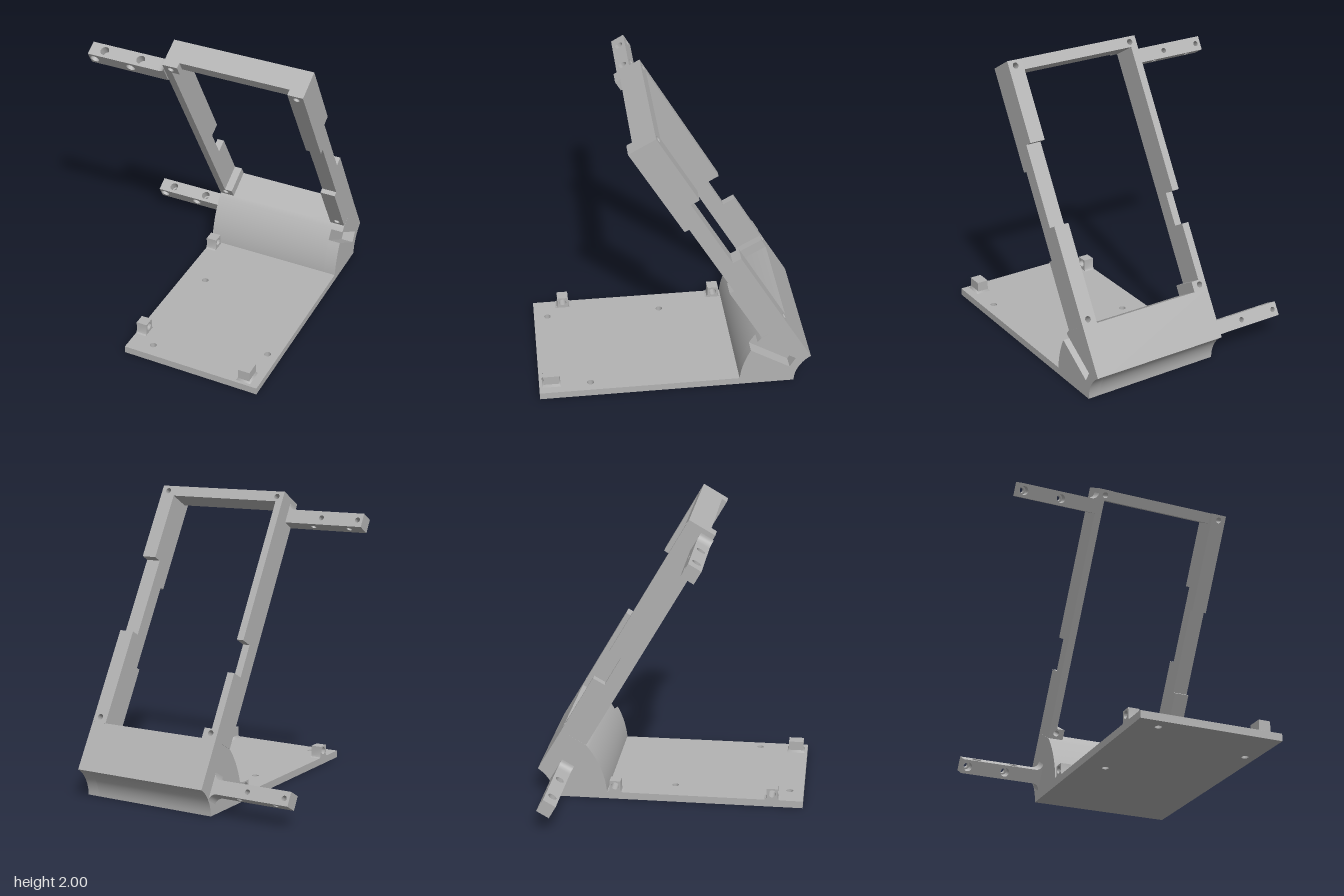
import * as THREE from 'three';
import { toCreasedNormals } from 'three/addons/utils/BufferGeometryUtils.js';

const grey = new THREE.MeshStandardMaterial({ color: 0xb3b3b3 });
grey.name = 'matte grey';

const X0 = -0.205, X1 = 0.765;      // body width
const L = 2.08, T = 0.197;          // leaning frame length and depth
const SILL = 0.335, LOW = 0.405, HIGH = 2.007; // frame opening and corner limits

function add(parent, name, geo, x = 0, y = 0, z = 0) {
  const mesh = new THREE.Mesh(geo, grey);
  mesh.name = name;
  mesh.position.set(x, y, z);
  parent.add(mesh);
  return mesh;
}

function extrude(points, depth, holes = []) {
  const shape = new THREE.Shape(points.map(([a, b]) => new THREE.Vector2(a, b)));
  for (const [a, b, r] of holes) {
    shape.holes.push(new THREE.Path().absarc(a, b, r, 0, Math.PI * 2, true));
  }
  const geo = new THREE.ExtrudeGeometry(shape, { depth, bevelEnabled: false, curveSegments: 12 });
  return toCreasedNormals(geo, 0.5);
}

const rect = (a0, a1, b0, b1) => [[a0, b0], [a1, b0], [a1, b1], [a0, b1]];

// side profile given as (z, y), swept across x from x0 to x1
function sweepX(parent, name, points, x0, x1, holes) {
  return add(parent, name, extrude(points, x1 - x0, holes).rotateY(-Math.PI / 2), x1);
}

function arc(cx, cy, r, from, to, n = 12) {
  return Array.from({ length: n + 1 }, (_, i) => {
    const a = THREE.MathUtils.degToRad(from + (to - from) * i / n);
    return [cx + r * Math.cos(a), cy + r * Math.sin(a)];
  });
}

// square arm with alternating counterbored holes along both cross directions
function arm(parent, name, u, flareDown) {
  const g = new THREE.Group();
  const h = 0.048, step = -0.016;
  g.name = name;
  g.position.set(0, u, 0.157);
  parent.add(g);
  const segments = [
    [-0.77, -0.6975, -0.733, false], [-0.6975, -0.5, -0.665, true],
    [-0.5, -0.4325, -0.4665, false], [-0.4325, -0.27, -0.4, true],
  ];
  for (const [a, b, hole, upward] of segments) {
    for (const [z0, z1, r] of [[-h, step, 0.018], [step, h, 0.03]]) {
      const geo = extrude(rect(a, b, -h, h), z1 - z0, [[hole, 0, r]]);
      geo.translate(0, 0, z0);
      if (upward) geo.rotateX(-Math.PI / 2);
      add(g, 'armSegment', geo);
    }
  }
  // rounded flare into the body
  const R = 0.045;
  const top = arc(X0 - R, h + R, R, 0, -90, 6);
  const bottom = flareDown ? arc(X0 - R, -h - R, R, 90, 0, 6) : [[X0, -h]];
  const root = [[-0.27, -h], ...bottom, ...top, [-0.27, h]];
  add(g, 'armRoot', extrude(root, 2 * h), 0, 0, -h);
}

export function createModel() {
  const model = new THREE.Group();
  model.name = 'tiltedStand';

  // base plate with screw holes (shape y is -z)
  add(model, 'basePlate', extrude(rect(X0, X1, -0.915, 0.44), 0.05, [
    [-0.04, -0.025, 0.023], [-0.04, -0.82, 0.023], [0.69, -0.57, 0.023],
  ]).rotateX(-Math.PI / 2));

  // curved foot joining base and frame; a slot is cut in its left end
  const C = -1.04;
  const back = [[-0.742, 0.49], ...arc(C, 0, 0.237, 57.5, 0, 10)];
  const front = (a, b, n) => arc(C, 0, 0.61, a, b, n);
  sweepX(model, 'foot', [...front(0, 39.7, 14), ...back], X0, 0.68);
  sweepX(model, 'slottedFootEnd', [
    ...front(0, 28, 10), [-0.77, 0.12], [-0.81, 0.19], ...front(35.5, 39.7, 3), ...back,
  ], 0.68, X1);

  // pierced posts at the right edge, plain post at the left front
  for (const z of [0.705, -0.375]) {
    const post = [[-0.055, 0.05], [0.055, 0.05], [0.043, 0.055], [0.038, 0.068],
      [0.038, 0.132], [-0.038, 0.132], [-0.038, 0.068], [-0.043, 0.055]];
    sweepX(model, 'piercedPost', post, X0, -0.13, [[0, 0.096, 0.026]]).position.z = z;
  }
  add(model, 'frontPost', new THREE.BoxGeometry(0.08, 0.09, 0.105), 0.66, 0.087, 0.833);
  add(model, 'postFillet', new THREE.CylinderGeometry(0.062, 0.08, 0.02, 4)
    .rotateY(Math.PI / 4).scale(0.9, 1, 1.12), 0.66, 0.058, 0.833);

  // leaning frame: local y runs up the slope, local z faces out of the front
  const frame = new THREE.Group();
  frame.name = 'leaningFrame';
  frame.position.set(0, 0.2, -0.91);
  frame.rotation.x = Math.PI / 6;
  model.add(frame);

  // corner blocks with through holes
  for (const [a, b, hx] of [[X0, -0.1, -0.155], [0.66, X1, 0.715]]) {
    add(frame, 'lowerCorner', extrude(rect(a, b, SILL, LOW), T, [[hx, 0.374, 0.02]]));
    add(frame, 'upperCorner', extrude(rect(a, b, HIGH, L), T, [[hx, 2.042, 0.02]]));
  }

  // recessed top bar
  add(frame, 'topBar', extrude(rect(-0.1, 0.66, HIGH, L), 0.157));

  // side bars with notches
  sweepX(frame, 'rightBar', [
    [0, LOW], [T, LOW], [T, HIGH], [0, HIGH],
    [0, 1.016], [0.09, 1.016], [0.09, 0.79], [0, 0.79],
  ], X0, -0.155);
  sweepX(frame, 'leftBar', [
    [0, LOW], [T, LOW], [T, 0.789], [T - 0.033, 0.789], [T - 0.033, 1.383], [T, 1.383],
    [T, HIGH], [0, HIGH], [0, 1.541], [0.062, 1.541], [0.062, 0.993], [0, 0.993],
  ], 0.66, X1);

  arm(frame, 'upperArm', 1.954, false);
  arm(frame, 'lowerArm', 0.058, true);
  return model;
}
